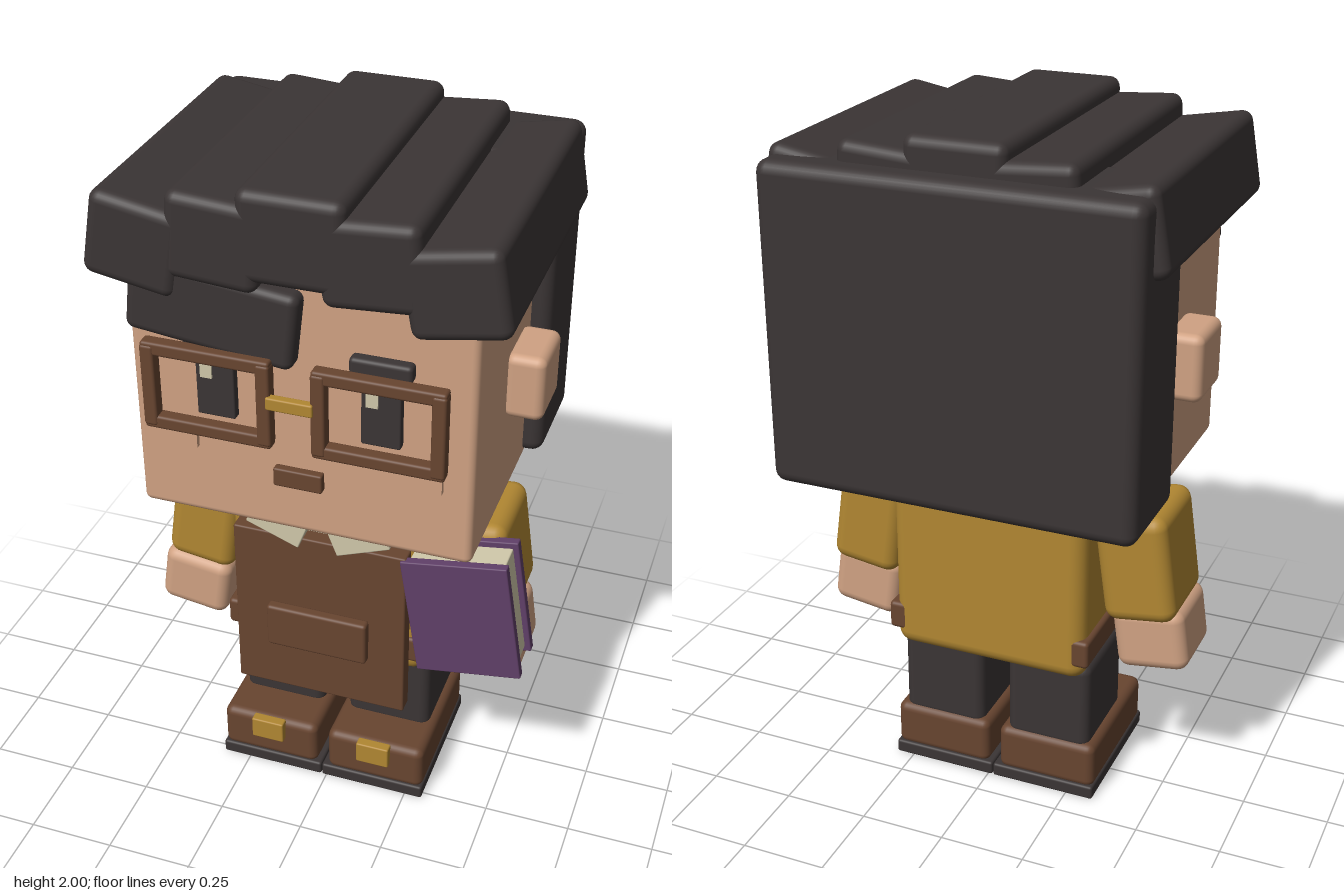
import * as THREE from 'three';
import { RoundedBoxGeometry } from 'three/addons/geometries/RoundedBoxGeometry.js';

const CX = -0.015; // mirror plane of the figure

export function createModel() {
  const model = new THREE.Group();
  model.name = 'character';
  const mat = (name, color) => {
    const m = new THREE.MeshStandardMaterial({ color });
    m.name = name;
    return m;
  };
  const dark = mat('charcoal', 0x3b3535);
  const skin = mat('skin', 0xd0a283);
  const gold = mat('mustard', 0xb18732);
  const brown = mat('leather', 0x684530);
  const purple = mat('purple', 0x603f68);
  const cream = mat('cream', 0xd0c8aa);

  // Box given by its extents; r rounds the edges, tilt (degrees) turns it about z
  const box = (parent, name, m, [x0, x1], [y0, y1], [z0, z1], r = 0, tilt = 0) => {
    const w = x1 - x0, h = y1 - y0, d = z1 - z0;
    const geo = r ? new RoundedBoxGeometry(w, h, d, 3, r) : new THREE.BoxGeometry(w, h, d);
    const mesh = new THREE.Mesh(geo, m);
    mesh.name = name;
    mesh.position.set((x0 + x1) / 2, (y0 + y1) / 2, (z0 + z1) / 2);
    mesh.rotation.z = THREE.MathUtils.degToRad(tilt);
    parent.add(mesh);
    return mesh;
  };
  const around = (c, size) => [c - size / 2, c + size / 2];
  const group = (name) => {
    const g = new THREE.Group();
    g.name = name;
    model.add(g);
    return g;
  };

  // Head and hair
  const head = group('head');
  box(head, 'face', skin, [-0.48, 0.45], [1.0, 1.88], [-0.39, 0.386], 0.02);
  box(head, 'backHair', dark, [-0.535, 0.505], [1.02, 1.915], [-0.467, -0.15], 0.035);
  const tufts = [ // centre x, centre y, width, height, tilt
    [-0.43, 1.807, 0.255, 0.235, -10],
    [-0.22, 1.845, 0.25, 0.235, -4],
    [-0.015, 1.877, 0.28, 0.246, 0],
    [0.185, 1.845, 0.26, 0.235, 4],
    [0.395, 1.807, 0.255, 0.235, 10],
  ];
  tufts.forEach(([x, y, w, h, tilt], i) =>
    box(head, 'hairTuft' + (i + 1), dark, around(x, w), around(y, h), [-0.395, 0.446], 0.03, tilt));
  box(head, 'fringe', dark, around(-0.235, 0.455), around(1.648, 0.215), [0.33, 0.435], 0.025, -6.5);

  // Face
  box(head, 'mouth', brown, [-0.085, 0.05], [1.155, 1.21], [0.388, 0.415], 0.006);
  for (const [side, s] of [['left', 1], ['right', -1]]) {
    const c = (off) => CX + s * off;
    box(head, side + 'Ear', skin, around(c(0.51), 0.11), [1.28, 1.47], [-0.097, 0.092], 0.025);
    box(head, side + 'Eye', dark, around(c(0.223), 0.105), [1.335, 1.508], [0.38, 0.41], 0.005);
    const glint = c(0.223) - 0.022;
    box(head, side + 'EyeGlint', cream, around(glint, 0.032), [1.45, 1.495], [0.408, 0.416]);
    box(head, side + 'Eyebrow', dark, around(c(0.223), 0.165), [1.535, 1.585], [0.38, 0.42], 0.012);
    box(head, side + 'Cheek', skin, around(c(0.335), 0.104), [1.225, 1.27], [0.396, 0.411]);

    // Glasses rim: two rails and two uprights
    const rim = c(0.23);
    for (const y of [1.315, 1.533])
      box(head, side + 'RimRail', brown, around(rim, 0.35), around(y, 0.038), [0.42, 0.46], 0.008);
    for (const dx of [-0.157, 0.157])
      box(head, side + 'RimUpright', brown, around(rim + dx, 0.038), [1.305, 1.543], [0.421, 0.463], 0.008);
  }
  box(head, 'glassesBridge', gold, [-0.078, 0.048], [1.422, 1.458], [0.445, 0.47], 0.005);

  // Torso, belt, apron and collar
  const torso = group('torso');
  box(torso, 'shirt', gold, [-0.31, 0.278], [0.42, 0.987], [-0.21, 0.2], 0.045);
  box(torso, 'belt', brown, [-0.325, 0.295], [0.47, 0.555], [-0.208, 0.21], 0.012);
  box(torso, 'apron', brown, [-0.27, 0.24], [0.33, 0.885], [0.22, 0.272], 0.006);
  box(torso, 'apronPocket', brown, [-0.165, 0.135], [0.505, 0.645], [0.27, 0.306], 0.01);
  box(torso, 'collarBand', cream, [-0.17, 0.14], [0.89, 0.998], [0.19, 0.235]);
  for (const [side, s] of [['left', 1], ['right', -1]])
    box(torso, side + 'CollarFlap', cream, around(CX + s * 0.118, 0.165), around(0.929, 0.092), [0.222, 0.282], 0.004, s * 21);

  // Arms, legs and shoes
  for (const [side, s] of [['left', 1], ['right', -1]]) {
    const c = (off) => CX + s * off;
    const arm = group(side + 'Arm');
    box(arm, side + 'Sleeve', gold, around(c(0.41), 0.21), around(0.77, 0.325), [-0.14, 0.14], 0.04, s * 8);
    box(arm, side + 'Hand', skin, around(c(0.448), 0.212), around(0.53, 0.19), [-0.09, 0.145], 0.035, s * 8);
    const leg = group(side + 'Leg');
    box(leg, side + 'Trouser', dark, around(c(0.167), 0.255), [0.15, 0.435], [-0.15, 0.14], 0.03);
    box(leg, side + 'Shoe', brown, around(c(0.167), 0.3), [0.03, 0.175], [-0.163, 0.27], 0.025);
    box(leg, side + 'Sole', dark, around(c(0.16), 0.318), [0, 0.042], [-0.17, 0.276], 0.008);
    box(leg, side + 'ShoeBuckle', gold, around(c(0.167), 0.1), [0.108, 0.178], [0.26, 0.292], 0.005);
  }

  // Book tucked under the left arm
  const book = group('book');
  box(book, 'frontCover', purple, around(0.402, 0.303), around(0.72, 0.372), [0.252, 0.28], 0.004, 9);
  box(book, 'backCover', purple, around(0.402, 0.303), around(0.72, 0.372), [0.127, 0.155], 0.004, 9);
  box(book, 'pages', cream, around(0.402, 0.272), around(0.722, 0.336), [0.155, 0.252], 0.004, 9);

  return model;
}
